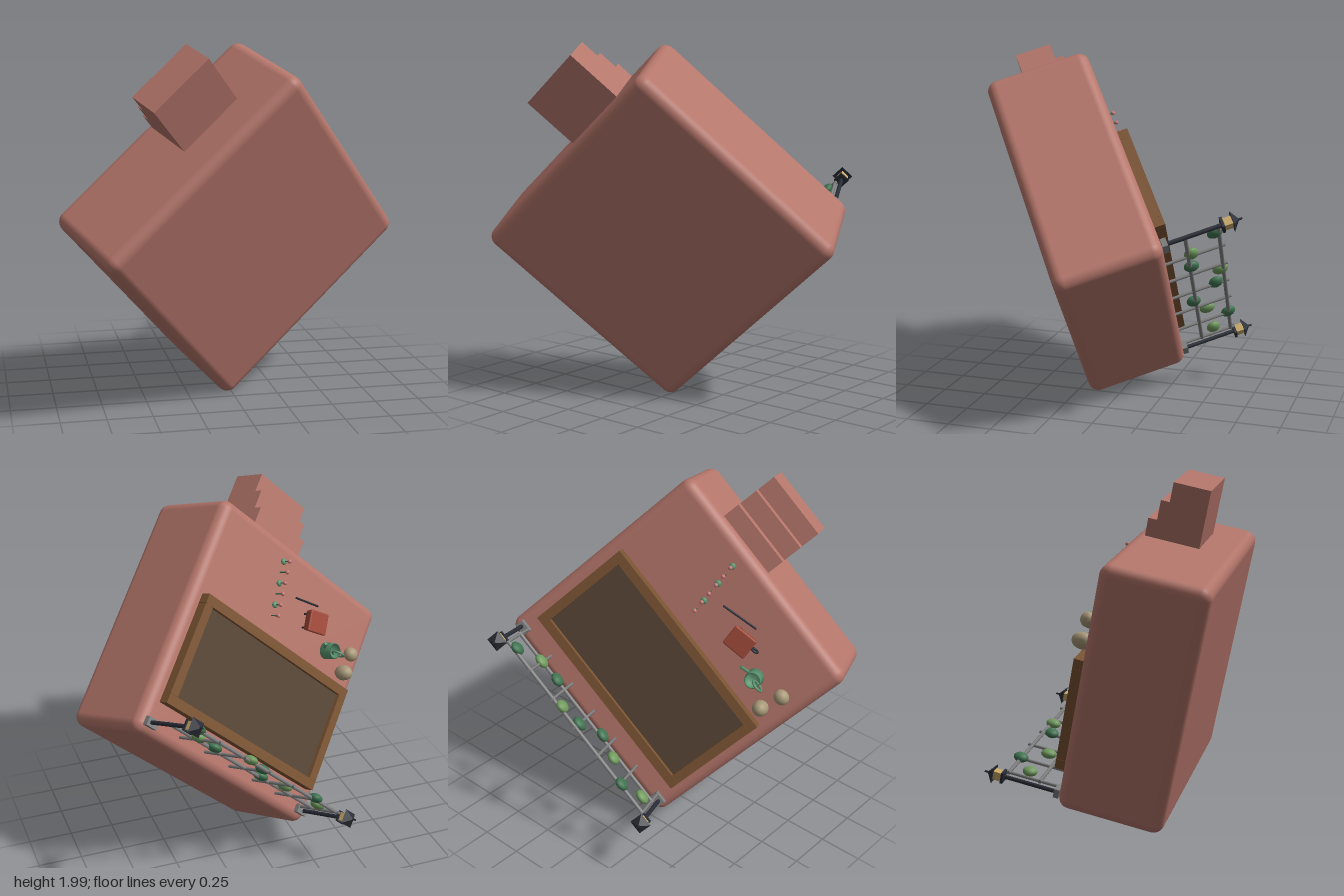
import * as THREE from 'three';
import { RoundedBoxGeometry } from 'three/addons/geometries/RoundedBoxGeometry.js';

const mat = (color) => new THREE.MeshStandardMaterial({ color });
const M = {
  clay: mat(0xb5766b), wood: mat(0x7b5433), soil: mat(0x574535), metal: mat(0x808080),
  dark: mat(0x2b2e38), glass: mat(0xc8a868), leafDark: mat(0x3f7350), leafLight: mat(0x6f9a5c),
  can: mat(0x5b9470), red: mat(0xa04a3a), stone: mat(0xa89878), petal: mat(0xc77a78),
};

function add(parent, name, geometry, material, x = 0, y = 0, z = 0) {
  const mesh = new THREE.Mesh(geometry, material);
  mesh.name = name;
  mesh.position.set(x, y, z);
  parent.add(mesh);
  return mesh;
}

function group(parent, name, x = 0, y = 0, z = 0) {
  const g = new THREE.Group();
  g.name = name;
  g.position.set(x, y, z);
  parent.add(g);
  return g;
}

const box = (w, h, d) => new THREE.BoxGeometry(w, h, d);

// Round bar between two points
function bar(parent, name, a, b, r, material) {
  const from = new THREE.Vector3(...a), to = new THREE.Vector3(...b);
  const dir = to.clone().sub(from);
  const mesh = add(parent, name, new THREE.CylinderGeometry(r, r, dir.length(), 8), material);
  mesh.position.copy(from).add(to).multiplyScalar(0.5);
  mesh.quaternion.setFromUnitVectors(new THREE.Vector3(0, 1, 0), dir.normalize());
  return mesh;
}

function ellipsoid(parent, name, material, p, s) {
  const mesh = add(parent, name, new THREE.SphereGeometry(1, 14, 10), material, ...p);
  mesh.scale.set(...s);
  return mesh;
}

// Timber frame filled with soil
function raisedBed(top) {
  const g = group(top, 'raisedBed', 0, 0, -0.18);
  for (const s of [-1, 1]) {
    add(g, 'longBeam', box(1.23, 0.06, 0.055), M.wood, 0, 0.03, s * 0.293);
    add(g, 'shortBeam', box(0.055, 0.06, 0.53), M.wood, s * 0.587, 0.03, 0);
  }
  add(g, 'soil', box(1.12, 0.035, 0.532), M.soil, 0, 0.0175, 0);
}

// Climbing frame with leaves and a lantern post at each end
function trellis(top) {
  const g = group(top, 'trellis', 0, 0, -0.61);
  for (let i = -3; i <= 3; i++) bar(g, 'upright', [i * 0.2, 0, 0], [i * 0.2, 0.335, 0], 0.009, M.metal);
  for (const h of [0.13, 0.31]) bar(g, 'rail', [-0.61, h, 0], [0.61, h, 0], 0.011, M.metal);

  const heights = [0.21, 0.31, 0.19, 0.12, 0.26, 0.295, 0.14, 0.15, 0.29];
  const light = [0, 2, 5, 7];
  heights.forEach((h, i) => {
    const leaf = ellipsoid(g, 'leaf', light.includes(i) ? M.leafLight : M.leafDark,
      [-0.54 + 0.135 * i, h, 0.01], [0.045, 0.04, 0.025]);
    leaf.rotation.z = i * 0.9;
  });

  for (const s of [-1, 1]) {
    const p = group(g, 'lanternPost', s * 0.635, 0, -0.015);
    add(p, 'footPlate', box(0.075, 0.03, 0.05), M.metal, -s * 0.01, 0.015, 0);
    bar(p, 'post', [0, 0, 0], [0, 0.33, 0], 0.012, M.dark);
    add(p, 'lanternBase', box(0.062, 0.014, 0.062), M.dark, 0, 0.328, 0);
    add(p, 'lanternGlass', box(0.048, 0.05, 0.048), M.glass, 0, 0.358, 0);
    const roof = add(p, 'lanternRoof', new THREE.ConeGeometry(0.058, 0.04, 4).toNonIndexed(), M.dark, 0, 0.4, 0);
    roof.geometry.computeVertexNormals();
    roof.rotation.y = Math.PI / 4;
    bar(p, 'finial', [0, 0.41, 0], [0, 0.435, 0], 0.006, M.dark);
  }
}

// Three treads hanging on the front wall, as one stepped block
function steps(top) {
  const d = 0.112, s = new THREE.Shape();
  s.moveTo(0, -0.37);
  s.lineTo(d * 3, -0.37);
  for (let i = 2; i >= 0; i--) {
    const y = -0.06 - i * 0.05;
    s.lineTo(d * (i + 1), y);
    s.lineTo(d * i, y);
  }
  const geo = new THREE.ExtrudeGeometry(s, { depth: 0.39, bevelEnabled: false });
  const mesh = add(top, 'steps', geo, M.clay, 0.41, 0, 0.685);
  mesh.rotation.y = -Math.PI / 2;
  mesh.position.x = 0.41;
}

// Can with spout and loop handle
function wateringCan(top) {
  const g = group(top, 'wateringCan', -0.39, 0, 0.29);
  const profile = [[0, 0], [0.05, 0], [0.046, 0.075], [0.04, 0.075], [0.042, 0.02], [0, 0.02]];
  add(g, 'canBody', new THREE.LatheGeometry(profile.map((p) => new THREE.Vector2(...p)), 20),
    new THREE.MeshStandardMaterial({ color: 0x5b9470, side: THREE.DoubleSide }));
  bar(g, 'spout', [0.04, 0.025, 0], [0.1, 0.085, 0], 0.009, M.can);
  add(g, 'handle', new THREE.TorusGeometry(0.034, 0.007, 8, 20), M.can, -0.04, 0.065, 0);
}

// Small barrow with a flared tray, and a tool lying beside it
function wheelbarrow(top) {
  const g = group(top, 'wheelbarrow', -0.18, 0, 0.37);
  g.rotation.y = 0.24;
  const geo = new RoundedBoxGeometry(0.15, 0.055, 0.13, 2, 0.01);
  const p = geo.attributes.position;
  for (let i = 0; i < p.count; i++) {
    const k = 0.85 + (p.getY(i) + 0.0275) * 2.7;
    p.setXYZ(i, p.getX(i) * k, p.getY(i), p.getZ(i) * k);
  }
  geo.computeVertexNormals();
  add(g, 'tray', geo, M.red, 0, 0.06, 0);
  const wheel = add(g, 'wheel', new THREE.TorusGeometry(0.02, 0.008, 8, 18), M.dark, -0.09, 0.027, 0);
  wheel.scale.z = 0.9;
  for (const s of [-1, 1]) bar(g, 'leg', [0.04, 0, s * 0.04], [0.04, 0.04, s * 0.04], 0.006, M.dark);
  bar(top, 'gardenTool', [0.03, 0.065, 0.42], [-0.18, 0.03, 0.475], 0.006, M.dark);
}

// Row of stemmed blossoms, every other one with a leaf tuft
function flowers(top) {
  for (let i = 0; i < 6; i++) {
    const f = group(top, 'flower', 0.168 - i * 0.013, 0, 0.58 - i * 0.062);
    bar(f, 'stem', [0, 0, 0], [0, 0.055, 0], 0.004, M.leafDark);
    ellipsoid(f, 'blossom', M.petal, [0, 0.058, 0], [0.012, 0.012, 0.012]);
    if (i % 2 === 0) ellipsoid(f, 'leafTuft', M.can, [0, 0.012, 0], [0.019, 0.013, 0.019]);
  }
}

export function createModel() {
  const model = new THREE.Group();
  model.name = 'gardenBlock';

  // Whole garden is tilted in space
  const garden = group(model, 'garden', 0, 0.99, 0.185);
  const u = new THREE.Vector3(0.732, 0.673, -0.102).normalize();
  const n = new THREE.Vector3(-0.4, 0.305, -0.863);
  const v = u.clone().cross(n).normalize();
  n.crossVectors(v, u);
  garden.quaternion.setFromRotationMatrix(new THREE.Matrix4().makeBasis(u, n, v));

  add(garden, 'groundBlock', new RoundedBoxGeometry(1.39, 0.59, 1.39, 5, 0.06), M.clay);

  // Everything standing on the upper surface
  const top = group(garden, 'gardenTop', 0, 0.295, 0);
  raisedBed(top);
  trellis(top);
  steps(top);
  wateringCan(top);
  wheelbarrow(top);
  flowers(top);
  ellipsoid(top, 'largeStone', M.stone, [-0.54, 0.05, 0.22], [0.046, 0.058, 0.046]);
  ellipsoid(top, 'smallStone', M.stone, [-0.56, 0.035, 0.35], [0.046, 0.04, 0.042]);
  return model;
}
